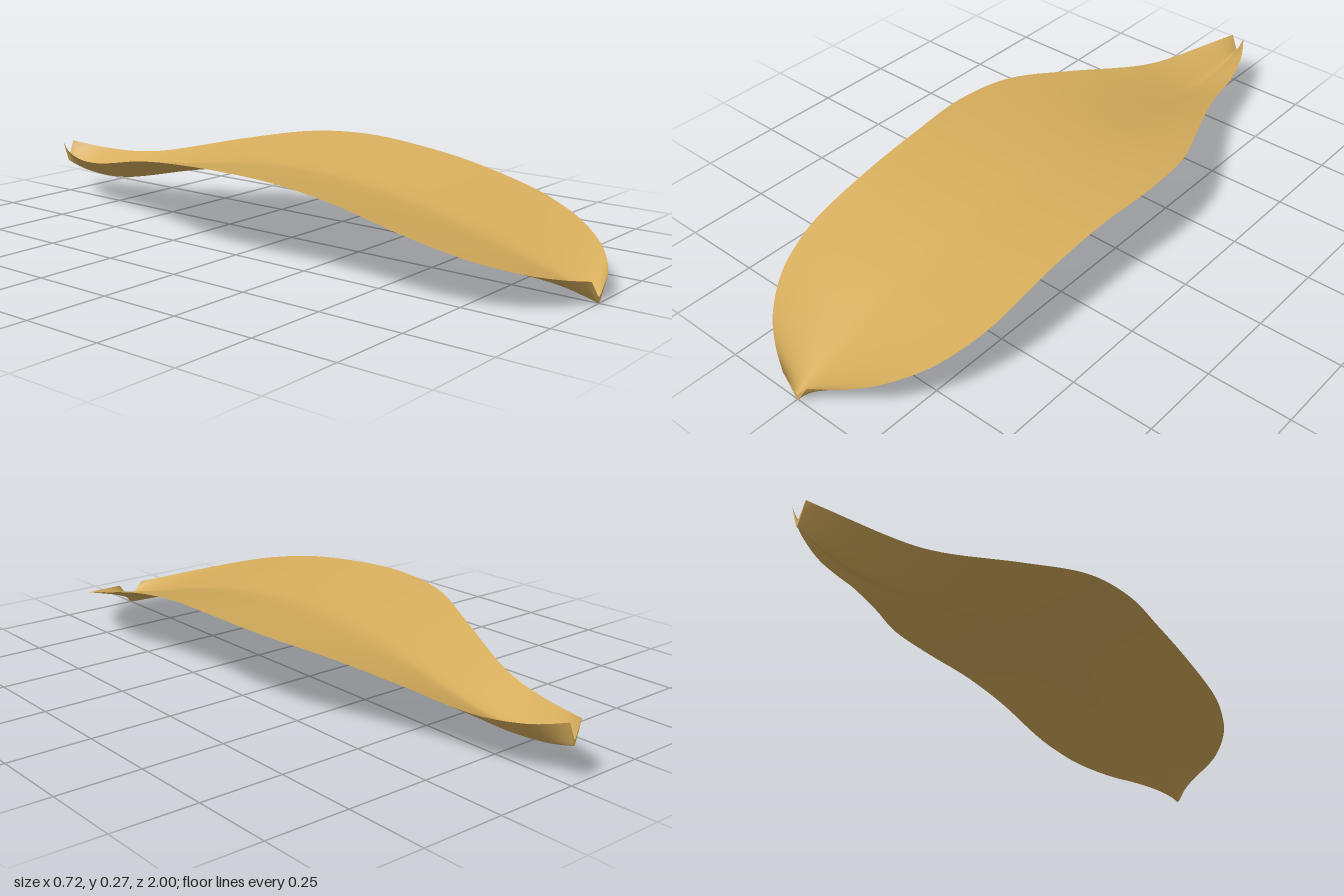
import * as THREE from 'three';

// Stations along the length: z, half width, height of the keel
const STATIONS = [
  [-1, 0.022, 0.105], [-0.95, 0.052, 0.093], [-0.9, 0.076, 0.085], [-0.8, 0.11, 0.08],
  [-0.7, 0.135, 0.088], [-0.6, 0.165, 0.107], [-0.4, 0.25, 0.152], [-0.2, 0.334, 0.187],
  [0, 0.358, 0.199], [0.2, 0.347, 0.191], [0.4, 0.341, 0.166], [0.6, 0.336, 0.122],
  [0.7, 0.317, 0.095], [0.8, 0.277, 0.065], [0.9, 0.198, 0.033], [0.96, 0.118, 0.013], [1, 0.045, 0],
];
const KEEL_THICKNESS = 0.017, DEPTH = 0.067;

// Smooth cubic interpolation of one station column at a given z
function sample(z, column) {
  const last = STATIONS.length - 1;
  const slope = (i) => {
    const a = STATIONS[Math.max(i - 1, 0)], b = STATIONS[Math.min(i + 1, last)];
    return (b[column] - a[column]) / (b[0] - a[0]);
  };
  let i = 0;
  while (i < last - 1 && z > STATIONS[i + 1][0]) i++;
  const [p, q] = [STATIONS[i], STATIONS[i + 1]];
  const h = q[0] - p[0], t = (z - p[0]) / h, t2 = t * t, t3 = t2 * t;
  return p[column] * (2 * t3 - 3 * t2 + 1) + slope(i) * h * (t3 - 2 * t2 + t)
    + q[column] * (3 * t2 - 2 * t3) + slope(i + 1) * h * (t3 - t2);
}

// Point on the shell: s runs rim to rim (-1..1), skin 0 = underside, 1 = upper side
function place(s, z, skin) {
  const rise = (Math.hypot(s, 0.1) - 0.1) / (Math.hypot(1, 0.1) - 0.1); // softened V
  const lift = skin * KEEL_THICKNESS;
  return [s * sample(z, 1), sample(z, 2) + lift + (DEPTH - lift) * rise, z];
}

// Move every vertex of a flat sheet by a rule
function bend(geometry, rule) {
  const p = geometry.attributes.position;
  for (let i = 0; i < p.count; i++) p.setXYZ(i, ...rule(p.getX(i), p.getY(i), p.getZ(i)));
  geometry.computeVertexNormals();
  return geometry;
}

export function createModel() {
  const group = new THREE.Group();
  group.name = 'curvedLeaf';
  const golden = new THREE.MeshStandardMaterial({ color: 0xd6ad5c });
  golden.name = 'golden tan';
  const add = (name, geometry) => {
    const mesh = new THREE.Mesh(geometry, golden);
    mesh.name = name;
    group.add(mesh);
  };

  // Upper and lower skins, meeting in a sharp rim; rows gather towards the ends
  for (const skin of [0, 1]) {
    const sheet = new THREE.PlaneGeometry(2, 2, 48, 96).rotateX(skin ? -Math.PI / 2 : Math.PI / 2);
    add(skin ? 'upperSkin' : 'lowerSkin',
      bend(sheet, (x, y, z) => place(x, Math.sin(z * Math.PI / 2), skin)));
  }

  // Thin V-shaped faces closing the two tips
  for (const end of [-1, 1]) {
    const cap = new THREE.PlaneGeometry(2, 1, 48, 1).rotateY(end > 0 ? 0 : Math.PI);
    add(end > 0 ? 'frontTip' : 'rearTip', bend(cap, (x, y) => place(x, end, y + 0.5)));
  }
  return group;
}
